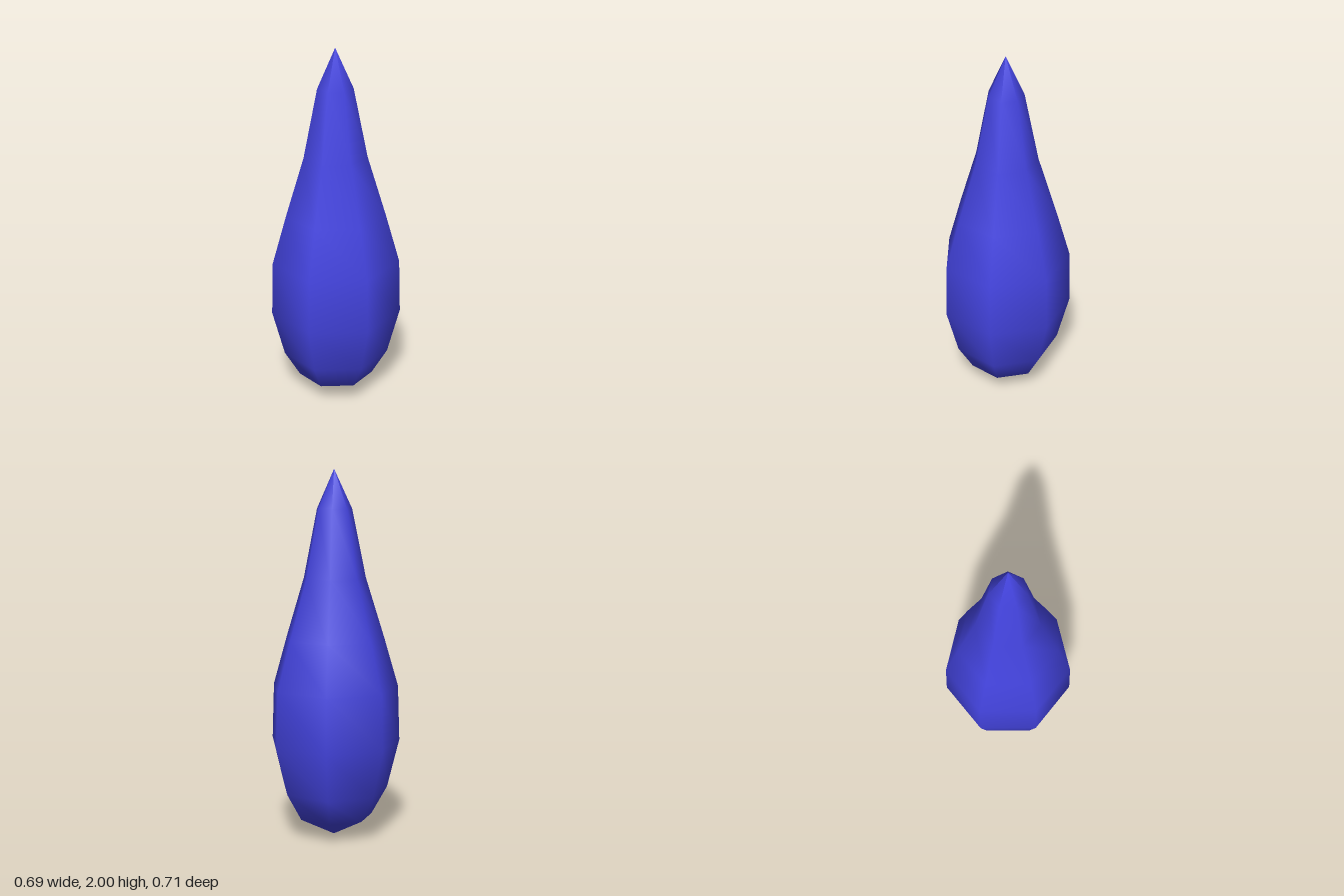
import * as THREE from 'three';

export function createModel() {
  const group = new THREE.Group();
  group.name = 'drop';

  // Profile from bottom tip to top tip: radius, height
  const profile = [
    [0, 0], [0.21, 0.11], [0.296, 0.26], [0.363, 0.525], [0.353, 0.825],
    [0.276, 1.09], [0.173, 1.42], [0.097, 1.79], [0, 2],
  ].map(([r, y]) => new THREE.Vector2(r, y));

  // Seven-sided smooth drop with one corner pointing along +x
  const body = new THREE.Mesh(
    new THREE.LatheGeometry(profile, 7, Math.PI / 2),
    new THREE.MeshStandardMaterial({ color: 0x4444e0 })
  );
  body.name = 'dropBody';
  body.position.x = -0.018; // centres the seven-sided outline
  group.add(body);

  return group;
}
